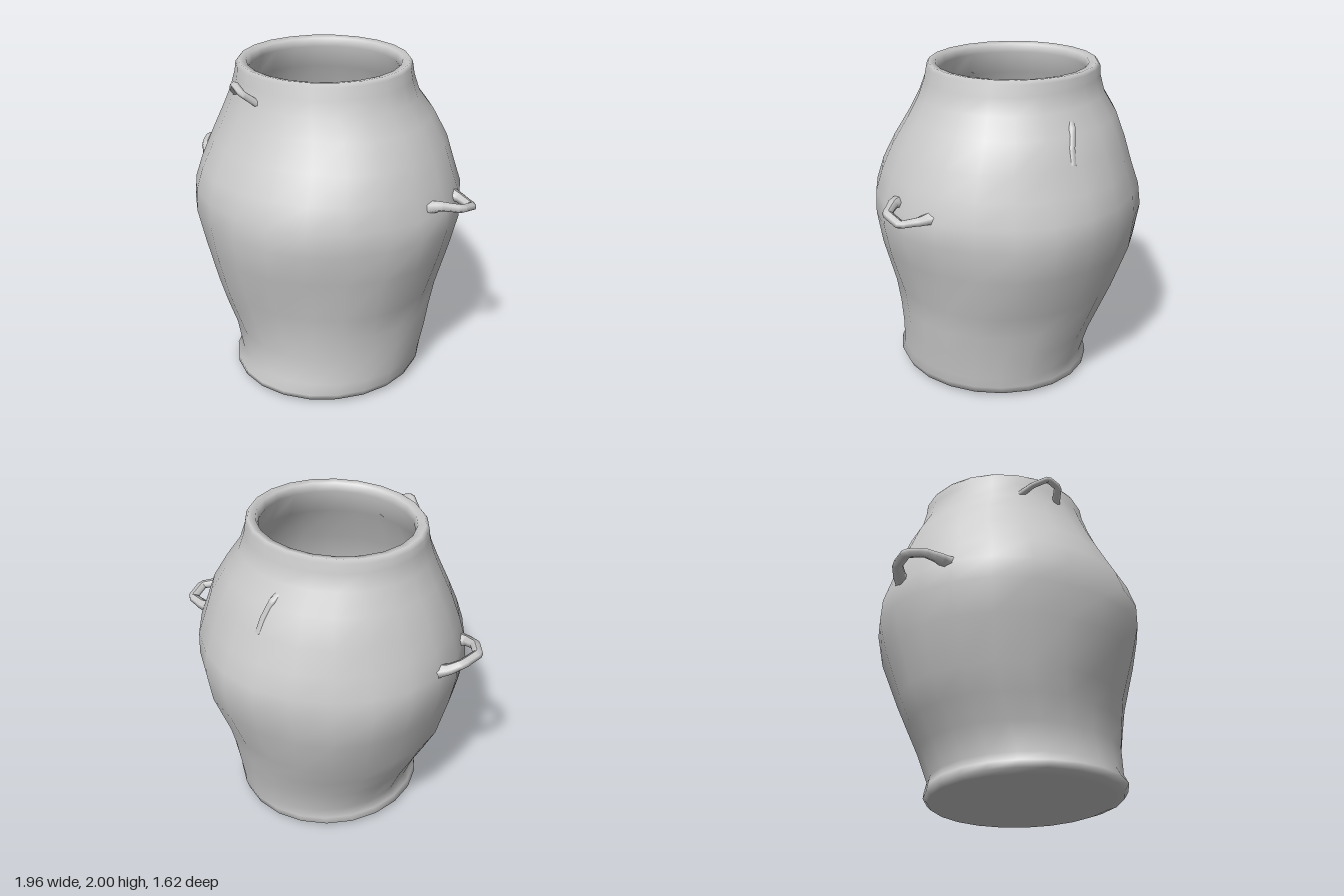
import * as THREE from 'three';

const SEG = 22;

// Outer wall sections: [y, xMin, xMax, zMin, zMax], bottom to top
const OUTER = [
  [0.0, -0.50, 0.57, -0.51, 0.63],
  [0.025, -0.535, 0.63, -0.54, 0.69],
  [0.07, -0.525, 0.65, -0.545, 0.71],
  [0.13, -0.50, 0.65, -0.54, 0.67],
  [0.30, -0.57, 0.675, -0.58, 0.66],
  [0.45, -0.645, 0.69, -0.63, 0.685],
  [0.60, -0.715, 0.715, -0.68, 0.71],
  [0.88, -0.795, 0.795, -0.785, 0.785],
  [1.08, -0.84, 0.84, -0.815, 0.815],
  [1.22, -0.83, 0.835, -0.805, 0.81],
  [1.36, -0.79, 0.785, -0.755, 0.765],
  [1.52, -0.74, 0.73, -0.70, 0.675],
  [1.68, -0.67, 0.635, -0.635, 0.59],
  [1.80, -0.61, 0.555, -0.55, 0.54],
  [1.90, -0.585, 0.52, -0.52, 0.505],
  [1.965, -0.58, 0.505, -0.515, 0.495],
];

// Rim and inner wall, top to floor
const INNER = [
  [1.988, -0.56, 0.49, -0.50, 0.48],
  [1.98, -0.51, 0.445, -0.455, 0.44],
  [1.93, -0.50, 0.43, -0.44, 0.425],
  [1.78, -0.54, 0.49, -0.49, 0.47],
  [1.52, -0.67, 0.66, -0.63, 0.61],
  [1.10, -0.77, 0.77, -0.745, 0.745],
  [0.60, -0.645, 0.645, -0.615, 0.64],
  [0.25, -0.49, 0.59, -0.51, 0.58],
  [0.12, -0.38, 0.46, -0.40, 0.46],
];

// Lofts closed rings from the base centre, over the rim, to the floor centre
function loftPot(rings) {
  const pos = [], idx = [];
  for (const [y, x0, x1, z0, z1] of rings) {
    for (let j = 0; j < SEG; j++) {
      const a = (j / SEG) * Math.PI * 2;
      // slight hand-thrown spiral ripple on the walls
      const w = 1 + 0.008 * Math.sin(5 * a + 7 * y) * Math.sin(Math.PI * y / 2);
      pos.push(
        (x0 + x1) / 2 + (x1 - x0) / 2 * Math.cos(a) * w,
        y + (y > 1.9 ? 0.01 * Math.cos(a) : 0),
        (z0 + z1) / 2 + (z1 - z0) / 2 * Math.sin(a) * w
      );
    }
  }
  for (let i = 0; i < rings.length - 1; i++) {
    for (let j = 0; j < SEG; j++) {
      const k = (j + 1) % SEG;
      const a = i * SEG + j, b = i * SEG + k, c = a + SEG, d = b + SEG;
      idx.push(a, c, b, b, c, d);
    }
  }
  // centre points close the underside and the inner floor
  const base = rings.length * SEG, last = (rings.length - 1) * SEG;
  pos.push(0.03, 0.005, 0.06, 0.04, 0.1, 0.03);
  for (let j = 0; j < SEG; j++) {
    const k = (j + 1) % SEG;
    idx.push(base, j, k, base + 1, last + k, last + j);
  }
  const g = new THREE.BufferGeometry();
  g.setAttribute('position', new THREE.Float32BufferAttribute(pos, 3));
  g.setIndex(idx);
  g.computeVertexNormals();
  return g;
}

// Angular lug: a flattened tube along straight pieces, flaring where it joins the wall
function lug(points, radius, flare) {
  const STEPS = 32, SIDES = 6;
  const path = new THREE.CurvePath();
  const p = points.map(v => new THREE.Vector3(...v));
  for (let i = 0; i < p.length - 1; i++) path.add(new THREE.LineCurve3(p[i], p[i + 1]));
  const g = new THREE.TubeGeometry(path, STEPS, radius, SIDES, false);
  const at = g.attributes.position, c = new THREE.Vector3(), v = new THREE.Vector3();
  for (let i = 0; i <= STEPS; i++) {
    path.getPointAt(i / STEPS, c);
    const s = 1 + flare * Math.abs(2 * i / STEPS - 1) ** 4;
    for (let j = 0; j <= SIDES; j++) {
      const n = i * (SIDES + 1) + j;
      v.fromBufferAttribute(at, n).sub(c).multiplyScalar(s);
      at.setXYZ(n, c.x + v.x, c.y + v.y * 0.75, c.z + v.z);
    }
  }
  g.computeVertexNormals();
  return g;
}

export function createModel() {
  const group = new THREE.Group();
  const clay = new THREE.MeshStandardMaterial({ color: 0xcccccc, side: THREE.DoubleSide });
  const add = (name, geometry) => {
    const mesh = new THREE.Mesh(geometry, clay);
    mesh.name = name;
    group.add(mesh);
  };

  add('potBody', loftPot([...OUTER, ...INNER]));

  // Side handles
  add('leftHandle', lug([
    [0.77, 1.24, -0.17], [0.84, 1.235, -0.155], [0.95, 1.23, -0.10],
    [0.945, 1.26, 0.02], [0.84, 1.275, 0.09], [0.77, 1.26, 0.115],
  ], 0.032, 0.8));
  add('rightHandle', lug([
    [-0.76, 1.23, -0.195], [-0.83, 1.245, -0.17], [-0.90, 1.275, -0.12], [-0.95, 1.285, 0],
    [-0.90, 1.275, 0.10], [-0.83, 1.245, 0.16], [-0.76, 1.23, 0.18],
  ], 0.034, 0.8));

  // Small lug below the rim at the front
  add('frontLug', lug([
    [-0.40, 1.79, 0.36], [-0.35, 1.87, 0.47], [-0.28, 1.925, 0.54],
    [-0.21, 1.89, 0.565], [-0.12, 1.79, 0.47],
  ], 0.024, 0.2));

  // Low leftover ridge on the back shoulder
  add('backRidge', lug([
    [0.03, 1.78, -0.51], [0.08, 1.71, -0.595], [0.12, 1.61, -0.63], [0.14, 1.52, -0.66],
  ], 0.026, 0));

  return group;
}
